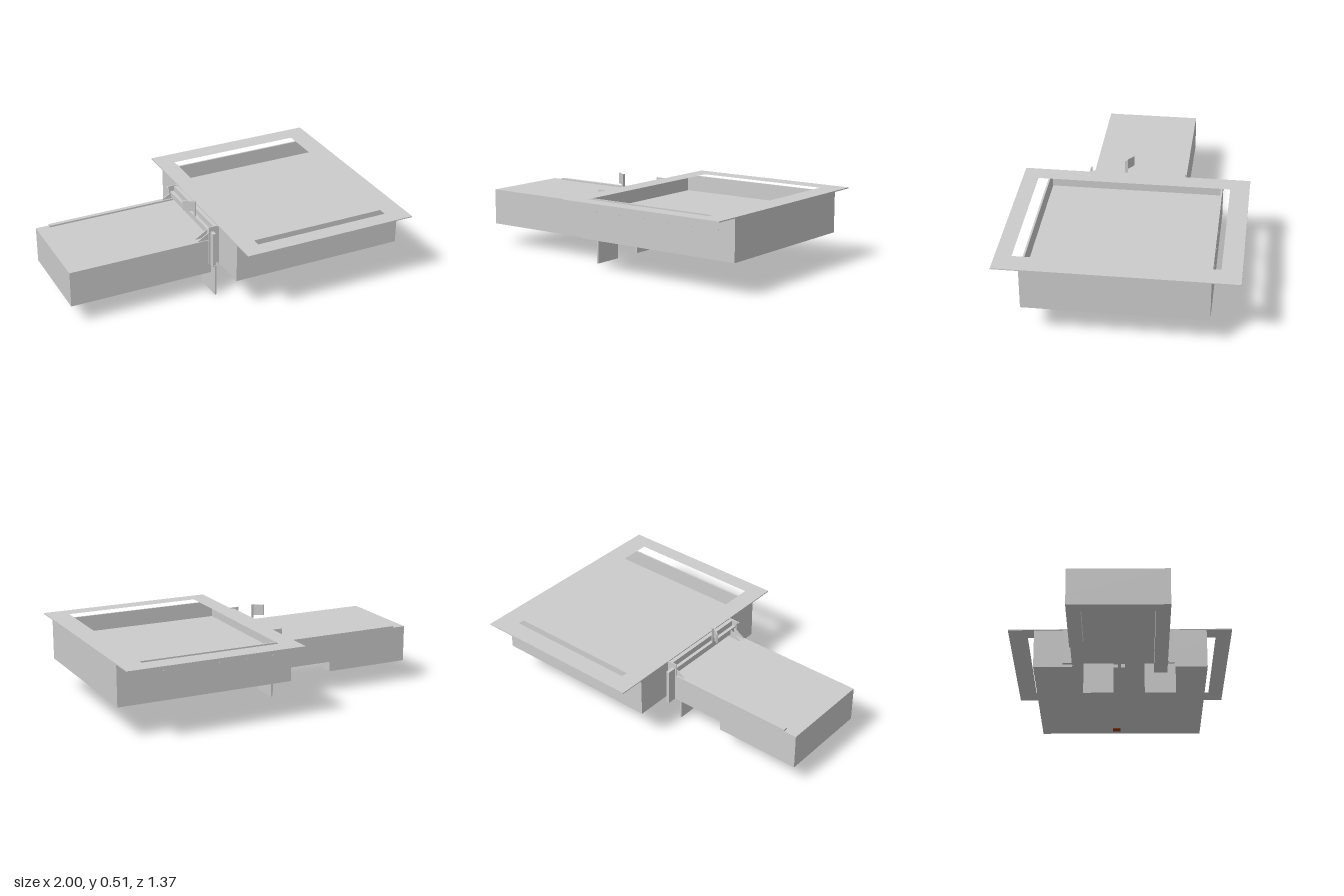
import * as THREE from 'three';

const grey = new THREE.MeshStandardMaterial({ color: 0xcccccc, flatShading: true });
const brown = new THREE.MeshStandardMaterial({ color: 0x8a3a10, flatShading: true });

export function createModel() {
  const model = new THREE.Group();

  const add = (name, geometry, material = grey) => {
    const mesh = new THREE.Mesh(geometry, material);
    mesh.name = name;
    model.add(mesh);
    return mesh;
  };

  // Box given by its limits on each axis
  const block = (name, [x0, x1], [y0, y1], [z0, z1], material) => {
    const mesh = add(name, new THREE.BoxGeometry(x1 - x0, y1 - y0, z1 - z0), material);
    mesh.position.set((x0 + x1) / 2, (y0 + y1) / 2, (z0 + z1) / 2);
    return mesh;
  };

  const rectangle = (Type, x0, x1, z0, z1) => new Type([
    new THREE.Vector2(x0, -z0), new THREE.Vector2(x1, -z0),
    new THREE.Vector2(x1, -z1), new THREE.Vector2(x0, -z1),
  ]);

  // Flat top flange with a large opening that overlaps the tray ends
  const flangeShape = rectangle(THREE.Shape, -0.08, 1, -0.685, 0.68);
  flangeShape.holes.push(rectangle(THREE.Path, 0.03, 0.87, -0.57, 0.585));
  const flange = add('topFlange', new THREE.ExtrudeGeometry(flangeShape, { depth: 0.006, bevelEnabled: false }));
  flange.rotation.x = -Math.PI / 2;
  flange.position.y = 0.434;

  // Main tray: closed base, recessed floor and four thin walls
  block('trayBase', [-0.075, 0.998], [0.19, 0.335], [-0.525, 0.525]);
  for (const side of [-1, 1]) {
    const z = [side * 0.525, side * 0.515].sort((a, b) => a - b);
    block('traySideWall', [-0.075, 0.998], [0.335, 0.434], z);
  }
  block('trayInnerEndWall', [-0.075, -0.065], [0.335, 0.434], [-0.515, 0.515]);
  block('trayOuterEndWall', [0.988, 0.998], [0.335, 0.434], [-0.515, 0.515]);
  block('undersidePatch', [0.895, 0.955], [0.186, 0.19], [-0.055, -0.005], brown);

  // Small rivets along the tray sides
  for (const side of [-1, 1]) {
    for (let i = 0; i < 6; i++) {
      const rivet = add('trayRivet', new THREE.CylinderGeometry(0.005, 0.005, 0.003, 8));
      rivet.rotation.x = Math.PI / 2;
      rivet.position.set(0.04 + i * 0.17, 0.36, side * 0.526);
    }
  }

  // Side housing with a partial rim below and a raised strip on top
  block('housing', [-1, -0.12], [0.19, 0.35], [-0.29, 0.28]);
  block('housingFrontRim', [-1, -0.12], [0.13, 0.19], [0.2, 0.28]);
  block('housingEndRim', [-1, -0.92], [0.13, 0.19], [-0.21, 0.2]);
  block('housingBackRim', [-1, -0.47], [0.13, 0.19], [-0.29, -0.21]);
  block('housingTopStrip', [-0.92, -0.12], [0.35, 0.36], [-0.29, -0.265]);

  // Triangular braces between housing and connecting frame
  const braceShape = new THREE.Shape([
    new THREE.Vector2(-0.2, 0.35), new THREE.Vector2(-0.12, 0.35),
    new THREE.Vector2(-0.12, 0.405), new THREE.Vector2(-0.2, 0.355),
  ]);
  for (const z of [-0.28, 0.235, 0.268]) {
    const brace = add('brace', new THREE.ExtrudeGeometry(braceShape, { depth: 0.006, bevelEnabled: false }));
    brace.position.z = z;
  }

  // Connecting frame: end posts, back plate and horizontal rails
  for (const z of [[-0.345, -0.29], [0.28, 0.325]]) {
    block('framePost', [-0.13, -0.11], [0.19, 0.41], z);
  }
  block('frameBackPlate', [-0.085, -0.075], [0.19, 0.434], [-0.29, 0.29]);
  block('frameLowerFill', [-0.12, -0.085], [0.19, 0.35], [-0.28, 0.28]);
  block('frameMiddleRail', [-0.13, -0.11], [0.37, 0.405], [-0.29, 0.28]);
  block('frameUpperRail', [-0.105, -0.085], [0.4, 0.435], [-0.285, 0.285]);
  for (const z of [[-0.29, -0.282], [0.282, 0.29]]) {
    block('frameEndPlate', [-0.14, -0.075], [0.195, 0.44], z);
  }

  // Upright angled tab above the frame
  const tab = add('angledTab', new THREE.BoxGeometry(0.074, 0.065, 0.008));
  tab.position.set(-0.157, 0.473, 0.053);
  tab.rotation.y = -Math.atan2(0.045, 0.062);
  block('tabSupport', [-0.13, -0.122], [0.37, 0.505], [0.06, 0.078]);

  // Flat legs and small cleats
  for (const z of [[0.145, 0.33], [-0.22, -0.04]]) {
    block('leg', [-0.12, -0.108], [0, 0.2], z);
  }
  for (const z of [0.016, -0.028]) {
    block('cleat', [-0.11, -0.085], [0.17, 0.19], [z - 0.013, z + 0.013]);
  }

  return model;
}
